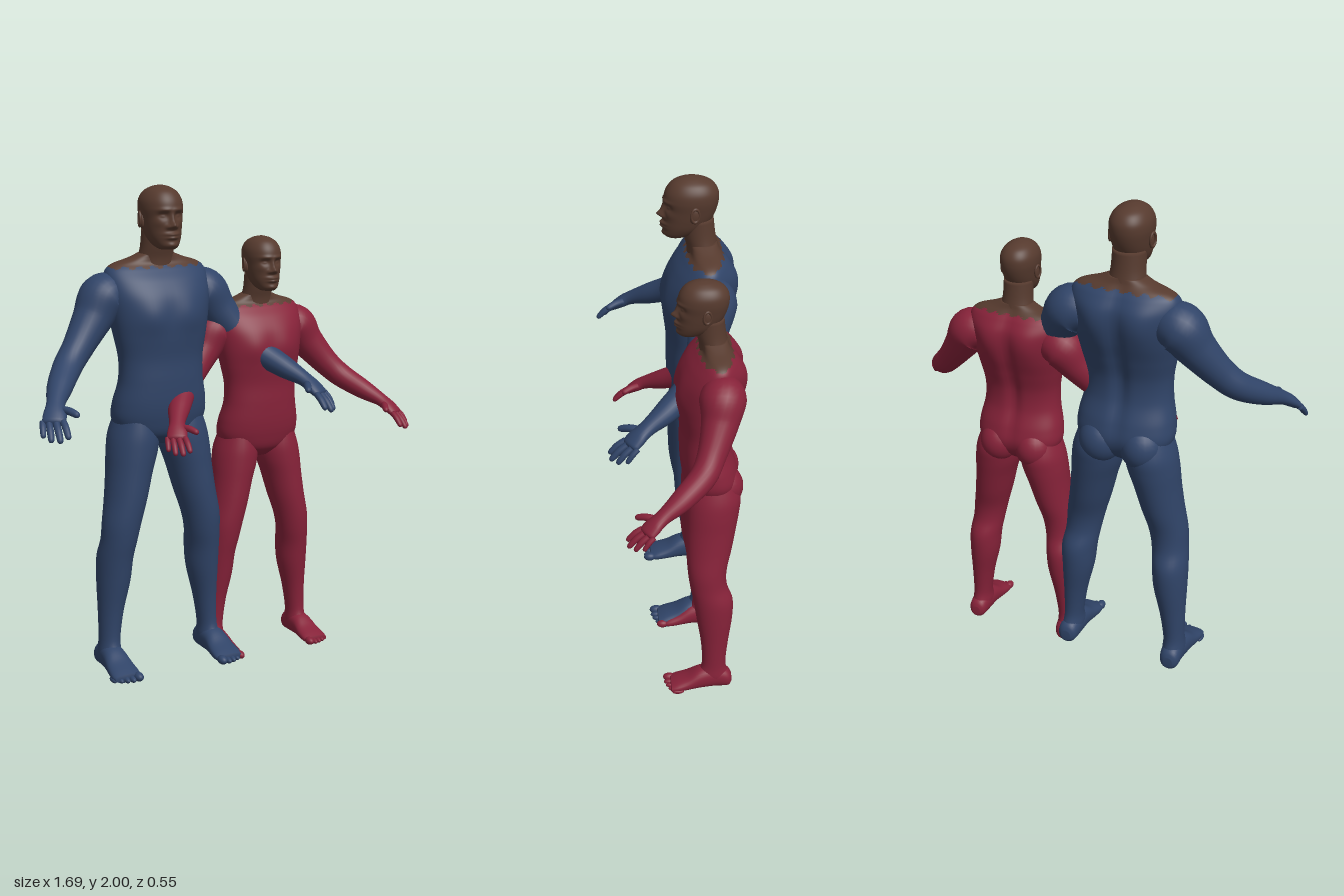
import * as THREE from 'three';

const skin = new THREE.MeshStandardMaterial({ color: 0x563a2e });
skin.name = 'brown skin';
const blue = new THREE.MeshStandardMaterial({ color: 0x304468 });
blue.name = 'blue suit';
const red = new THREE.MeshStandardMaterial({ color: 0x862239 });
red.name = 'red suit';

const bump = (x, y, cx, cy, sx, sy) => Math.exp(-(((x - cx) / sx) ** 2) - ((y - cy) / sy) ** 2);

// Smooth interpolation through the rows of a small table, t from 0 to 1
function sample(table, t) {
  const n = table.length - 1, f = Math.min(t, 1) * n, i = Math.min(Math.floor(f), n - 1), u = f - i;
  const a = table[Math.max(i - 1, 0)], b = table[i], c = table[i + 1], d = table[Math.min(i + 2, n)];
  return b.map((v, k) => {
    const m0 = (c[k] - a[k]) / 2, m1 = (d[k] - v) / 2;
    return v + u * (m0 + u * (3 * (c[k] - v) - 2 * m0 - m1 + u * (2 * (v - c[k]) + m0 + m1)));
  });
}

// Closed surface over rings of points; pick(centre) sends a triangle to the second material
function surface(rings, pick) {
  const w = rings[0].length, pts = rings.flat(), groups = [[], []];
  const mid = (ring) => ring.reduce((s, p) => s.add(p), new THREE.Vector3()).divideScalar(w);
  const first = pts.push(mid(rings[0])) - 1, last = pts.push(mid(rings[rings.length - 1])) - 1;
  const add = (a, b, c) => {
    const m = pts[a].clone().add(pts[b]).add(pts[c]).divideScalar(3);
    groups[pick && pick(m) ? 1 : 0].push(a, b, c);
  };
  const end = (rings.length - 1) * w;
  for (let i = 0; i < w; i++) {
    const k = (i + 1) % w;
    for (let j = 0; j < end; j += w) {
      add(j + i, j + w + i, j + k);
      add(j + k, j + w + i, j + w + k);
    }
    add(first, i, k);
    add(last, end + k, end + i);
  }
  const geo = new THREE.BufferGeometry().setFromPoints(pts);
  geo.setIndex(groups.flat());
  if (pick) {
    geo.addGroup(0, groups[0].length, 0);
    geo.addGroup(groups[0].length, groups[1].length, 1);
  }
  geo.computeVertexNormals();
  return geo;
}

// Rows are [y, x0, x1, zFront, zBack] from bottom to top
function loft(rows, { s = 1, sides = 32, steps = 40, power = 1, rule, pick } = {}) {
  const round = (v) => Math.sign(v) * Math.abs(v) ** power;
  const rings = [];
  for (let j = 0; j <= steps; j++) {
    const [y, x0, x1, zf, zb] = sample(rows, j / steps), ring = [];
    for (let i = 0; i < sides; i++) {
      const a = (i / sides) * Math.PI * 2;
      const p = new THREE.Vector3(s * (x0 + x1) / 2 + (x1 - x0) / 2 * round(Math.cos(a)), y,
        (zf + zb) / 2 + (zf - zb) / 2 * round(Math.sin(a)));
      if (rule) rule(p, Math.sin(a));
      ring.push(p);
    }
    rings.push(ring);
  }
  return surface(rings, pick);
}

// Rows are [x, y, z, half width, half thickness] along a limb with a rounded tip
function limb(rows, { s = 1, sides = 24, steps = 40, tip = 0.1 } = {}) {
  const rings = [], at = (t) => {
    const [x, y, z] = sample(rows, t);
    return new THREE.Vector3(s * x, y, z);
  };
  for (let j = 0; j <= steps; j++) {
    const t = j / steps, p = at(t), [, , , rw, rt] = sample(rows, t);
    const dir = at(Math.min(t + 0.01, 1)).sub(at(Math.max(t - 0.01, 0))).normalize();
    const n = dir.clone().cross(new THREE.Vector3(0, 1, 0)).normalize(), b = dir.clone().cross(n);
    const k = t > 1 - tip ? Math.sqrt(Math.max(0.02, 1 - ((t - 1 + tip) / tip) ** 2)) : 1;
    rings.push(Array.from({ length: sides }, (_, i) => {
      const a = (i / sides) * Math.PI * 2;
      return p.clone().addScaledVector(n, Math.cos(a) * rw * k).addScaledVector(b, -Math.sin(a) * rt * k);
    }));
  }
  return surface(rings);
}

const wide = (rows) => rows.map(([y, w, zf, zb]) => [y, -w, w, zf, zb]);

const TORSO = wide([
  [0.955, 0.05, -0.08, -0.19], [1.0, 0.16, -0.035, -0.24], [1.06, 0.2, -0.015, -0.262],
  [1.13, 0.2, -0.004, -0.25], [1.22, 0.182, 0, -0.22], [1.31, 0.18, 0, -0.217],
  [1.4, 0.195, 0.01, -0.24], [1.48, 0.21, 0.012, -0.262], [1.56, 0.222, 0, -0.272],
  [1.62, 0.225, -0.03, -0.268], [1.665, 0.215, -0.068, -0.245], [1.69, 0.185, -0.092, -0.225],
  [1.71, 0.12, -0.095, -0.212], [1.73, 0.07, -0.09, -0.205]]);
const NECK = wide([[1.66, 0.085, -0.085, -0.22], [1.71, 0.075, -0.083, -0.208],
  [1.76, 0.068, -0.07, -0.198], [1.83, 0.066, -0.06, -0.19]]);
const HEAD = wide([
  [1.752, 0.03, -0.005, -0.08], [1.765, 0.047, 0.008, -0.115], [1.795, 0.064, 0.01, -0.16],
  [1.83, 0.073, 0.008, -0.185], [1.87, 0.079, 0.006, -0.202], [1.91, 0.084, 0.008, -0.21],
  [1.945, 0.08, 0, -0.206], [1.975, 0.062, -0.022, -0.184], [1.993, 0.034, -0.055, -0.146],
  [2.0, 0.008, -0.09, -0.11]]);
const LEG = [
  [0.03, 0.195, 0.275, -0.09, -0.215], [0.07, 0.187, 0.28, -0.07, -0.215], [0.13, 0.188, 0.275, -0.09, -0.2],
  [0.25, 0.17, 0.275, -0.085, -0.21], [0.38, 0.14, 0.278, -0.065, -0.228], [0.48, 0.13, 0.277, -0.05, -0.23],
  [0.56, 0.118, 0.268, -0.035, -0.203], [0.64, 0.1, 0.262, -0.025, -0.202], [0.74, 0.07, 0.245, -0.02, -0.225],
  [0.845, 0.042, 0.232, -0.02, -0.245], [0.93, 0.015, 0.225, -0.02, -0.26], [1.0, 0.008, 0.213, -0.024, -0.265],
  [1.08, 0.03, 0.185, -0.04, -0.24]];
// Foot rows run along z, with height stored as negative depth
const FOOT = [
  [-0.228, 0.215, 0.255, -0.015, -0.06], [-0.21, 0.195, 0.275, 0, -0.09], [-0.15, 0.187, 0.28, 0, -0.115],
  [-0.08, 0.185, 0.288, 0, -0.105], [-0.02, 0.178, 0.296, 0, -0.07], [0.03, 0.176, 0.3, 0, -0.05],
  [0.058, 0.185, 0.295, -0.005, -0.038]];
const ARM = [
  [0.16, 1.565, -0.165, 0.08, 0.08], [0.225, 1.555, -0.163, 0.1, 0.1], [0.285, 1.475, -0.145, 0.08, 0.08],
  [0.365, 1.375, -0.105, 0.062, 0.063], [0.43, 1.308, -0.06, 0.058, 0.056], [0.5, 1.248, 0.03, 0.05, 0.046],
  [0.55, 1.205, 0.11, 0.036, 0.03], [0.572, 1.175, 0.155, 0.045, 0.025], [0.592, 1.145, 0.19, 0.045, 0.018]];
// Knuckle, tip and thickness of each finger, thumb last
const FINGERS = [
  [[0.557, 1.155, 0.2], [0.562, 1.1, 0.265], 0.013], [[0.583, 1.15, 0.195], [0.594, 1.088, 0.262], 0.0135],
  [[0.605, 1.148, 0.178], [0.62, 1.088, 0.236], 0.013], [[0.622, 1.152, 0.155], [0.638, 1.1, 0.2], 0.0115],
  [[0.545, 1.19, 0.14], [0.503, 1.175, 0.225], 0.015]];

// Chest, shoulder blades and spine
function muscles(p, front) {
  const x = Math.abs(p.x);
  if (front > 0) p.z += front * 0.014 * bump(x, p.y, 0.09, 1.49, 0.07, 0.07);
  else p.z += front * 0.02 * bump(x, p.y, 0.1, 1.57, 0.07, 0.1) + 0.02 * bump(x, p.y, 0, 1.35, 0.03, 0.28);
}

// Eye sockets, eyes, brow, nose, lips and chin
function face(p, front) {
  if (front <= 0) return;
  const x = Math.abs(p.x), y = p.y;
  p.z += front * (-0.016 * bump(x, y, 0.033, 1.885, 0.02, 0.012) + 0.008 * bump(x, y, 0.033, 1.883, 0.011, 0.006)
    + 0.006 * bump(x, y, 0.03, 1.908, 0.03, 0.008) + 0.026 * bump(x, y, 0, 1.848, 0.012, 0.014)
    + 0.012 * bump(x, y, 0, 1.872, 0.009, 0.022) + 0.011 * bump(x, y, 0.017, 1.842, 0.01, 0.009)
    + 0.014 * bump(x, y, 0, 1.813, 0.028, 0.007) + 0.013 * bump(x, y, 0, 1.799, 0.024, 0.007)
    + 0.006 * bump(x, y, 0, 1.77, 0.025, 0.01) + 0.005 * bump(x, y, 0.05, 1.855, 0.02, 0.015));
}

// Ragged neckline
const bare = (c) => c.y > 1.677 + 0.006 * Math.sin(c.x * 110) + (c.z < -0.2 ? 0.012 : 0);

function person(name, suit) {
  const group = new THREE.Group();
  group.name = name;
  const add = (part, geo, mat = suit) => {
    const m = new THREE.Mesh(geo, mat);
    m.name = part;
    group.add(m);
    return m;
  };
  const ball = (part, x, y, z, rx, ry, rz, mat) => {
    const m = add(part, new THREE.SphereGeometry(1, 24, 16), mat);
    m.position.set(x, y, z);
    m.scale.set(rx, ry, rz);
    return m;
  };

  add('torso', loft(TORSO, { sides: 80, steps: 104, power: 0.88, rule: muscles, pick: bare }), [suit, skin]);
  add('neck', loft(NECK, { steps: 12 }), skin);
  add('head', loft(HEAD, { sides: 96, steps: 100, power: 0.95, rule: face }), skin);

  for (const [side, s] of [['left', 1], ['right', -1]]) {
    // Ear with a raised rim
    ball(side + 'Ear', s * 0.08, 1.863, -0.108, 0.009, 0.031, 0.019, skin).rotation.x = -0.2;
    const rim = add(side + 'EarRim', new THREE.TorusGeometry(0.02, 0.005, 8, 24), skin);
    rim.position.set(s * 0.087, 1.868, -0.11);
    rim.rotation.set(0, Math.PI / 2 + s * 0.25, 0);
    rim.scale.set(0.85, 1.35, 1);

    // Arm and hand
    add(side + 'Arm', limb(ARM, { s, steps: 64, tip: 0.05 }));
    FINGERS.forEach(([a, b, r], i) => {
      const bend = a.map((v, k) => (v + b[k]) / 2 + (k === 1 ? 0.006 : 0));
      const rows = [[...a, r, r], [...bend, r * 1.05, r], [...b, r * 0.85, r * 0.8]];
      add(side + (i === 4 ? 'Thumb' : 'Finger' + (i + 1)), limb(rows, { s, sides: 12, steps: 18, tip: 0.2 }));
    });

    // Leg, buttock and foot
    add(side + 'Leg', loft(LEG, { s, steps: 60 }));
    ball(side + 'Buttock', s * 0.088, 1.03, -0.185, 0.09, 0.1, 0.094);
    add(side + 'Foot', loft(FOOT, { s, steps: 30, power: 0.9 }).rotateX(Math.PI / 2));
    for (let i = 0; i < 5; i++) {
      const r = i ? 0.0135 - i * 0.0006 : 0.019;
      ball(side + 'Toe' + (i + 1), s * (0.195 + i * 0.0235 + (i ? 0.004 : 0)), r + 0.003,
        0.062 - i * i * 0.0022, r, r, 0.028);
    }
  }
  return group;
}

export function createModel() {
  const model = new THREE.Group();
  model.name = 'two people';
  const tall = person('tallPerson', blue);
  tall.position.set(-0.2, 0, 0);
  const short = person('shortPerson', red);
  short.scale.setScalar(0.89);
  short.position.set(0.267, 0, -0.015);
  model.add(tall, short);
  return model;
}
